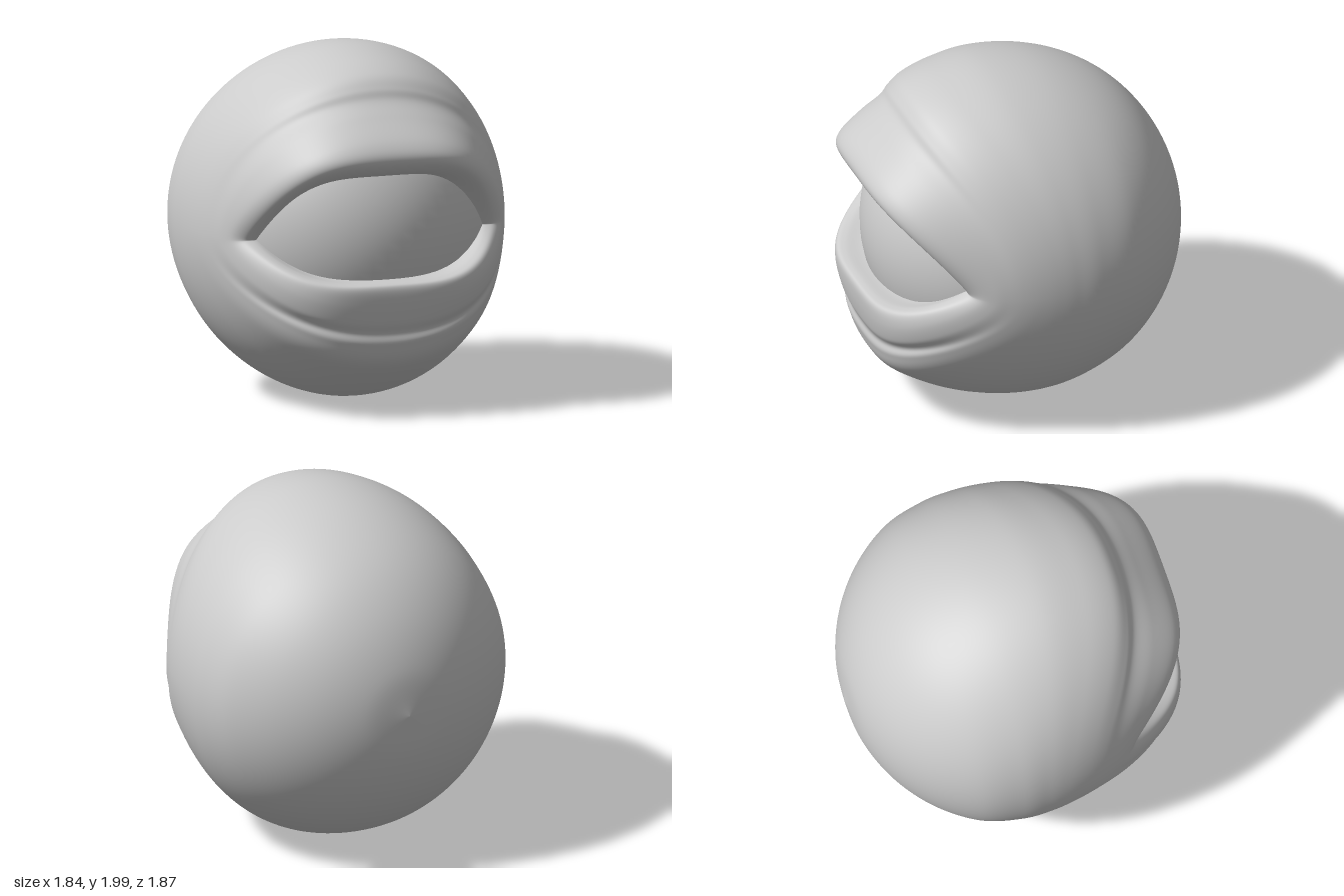
import * as THREE from 'three';

// Rings of the lids from the opening to the widest section:
// [side x, side z, upper y, upper z, upper bend, lower y, lower z, lower bend]
const LIDS = [
  [0.61, 0.48, 1.355, 0.66, 2.6, 0.81, 0.70, 2.6],
  [0.65, 0.52, 1.365, 0.77, 2.8, 0.79, 0.81, 2.8],
  [0.69, 0.53, 1.405, 0.88, 3.2, 0.785, 0.90, 3.2],
  [0.735, 0.52, 1.48, 0.935, 3.6, 0.76, 0.935, 3.6],
  [0.785, 0.48, 1.57, 0.90, 3.6, 0.67, 0.932, 3.7],
  [0.825, 0.415, 1.69, 0.775, 3.1, 0.56, 0.91, 3.5],
  [0.855, 0.34, 1.77, 0.688, 2.4, 0.495, 0.884, 3.1],
  [0.88, 0.26, 1.835, 0.65, 2.3, 0.425, 0.885, 3.2],
  [0.9, 0.17, 1.905, 0.575, 2.2, 0.29, 0.81, 3],
  [0.914, 0.07, 1.965, 0.41, 2.1, 0.11, 0.52, 2.6],
  [0.92, -0.04, 2.0, 0.16, 2, 0.015, 0.2, 2.2],
  [0.914, -0.19, 1.962, -0.14, 2, 0.022, -0.11, 2],
];

// Round back: rings every 16 degrees down to the pole
const BACK = [4, 3, 2, 1, 0].map((step) => {
  const phi = THREE.MathUtils.degToRad(step * 16);
  const r = Math.sin(phi);
  const z = -0.93 * Math.cos(phi);
  return [0.955 * r, z, 1 + 0.957 * r, z, 2, 1 - 0.968 * r, z, 2];
});
const RINGS = [...LIDS, ...BACK];

// Smooth profile through points picked from each ring
function profile(pick) {
  const pts = RINGS.map((r, i) => new THREE.Vector3(...pick(r, i)));
  return new THREE.CatmullRomCurve3(pts, false, 'catmullrom', 0.5);
}

function eyelidGeometry(rows = 128, cols = 128) {
  // The third side value fades the almond outline into an ellipse
  const side = profile((r, i) => [r[0], r[1], 1 - THREE.MathUtils.smoothstep(i, 1, 7)]);
  const upper = profile((r) => r.slice(2, 5));
  const lower = profile((r) => r.slice(5, 8));
  const pos = [];
  const index = [];
  for (let i = 0; i <= rows; i++) {
    const s = side.getPoint(i / rows);
    const up = upper.getPoint(i / rows);
    const low = lower.getPoint(i / rows);
    for (let j = 0; j < cols; j++) {
      const angle = (j / cols) * Math.PI * 2;
      const c = Math.cos(angle);
      const sn = Math.sin(angle);
      const mid = sn >= 0 ? up : low;
      const almond = 1 - Math.pow(Math.abs(c), 3.8);
      const height = THREE.MathUtils.lerp(Math.abs(sn), almond, s.z);
      const bend = 1 - Math.pow(Math.abs(c), mid.z);
      pos.push(s.x * c, 1 + (mid.x - 1) * height, s.y + (mid.y - s.y) * bend);
      if (i === rows) continue;
      const a = i * cols + j;
      const b = i * cols + ((j + 1) % cols);
      index.push(a, a + cols, b);
      if (i < rows - 1) index.push(b, a + cols, b + cols);
    }
  }
  const geo = new THREE.BufferGeometry();
  geo.setAttribute('position', new THREE.Float32BufferAttribute(pos, 3));
  geo.setIndex(index);
  geo.computeVertexNormals();
  return geo;
}

export function createModel() {
  const group = new THREE.Group();
  group.name = 'eyeWithLids';

  // Ball showing through the opening
  const eyeball = new THREE.Mesh(
    new THREE.SphereGeometry(0.845, 64, 48),
    new THREE.MeshStandardMaterial({ color: 0xcccccc }),
  );
  eyeball.name = 'eyeball';
  eyeball.position.y = 1;

  // Upper and lower lids with creases, closed round the back
  const eyelids = new THREE.Mesh(
    eyelidGeometry(),
    new THREE.MeshStandardMaterial({ color: 0xcccccc, side: THREE.DoubleSide }),
  );
  eyelids.name = 'eyelids';

  group.add(eyeball, eyelids);
  return group;
}
